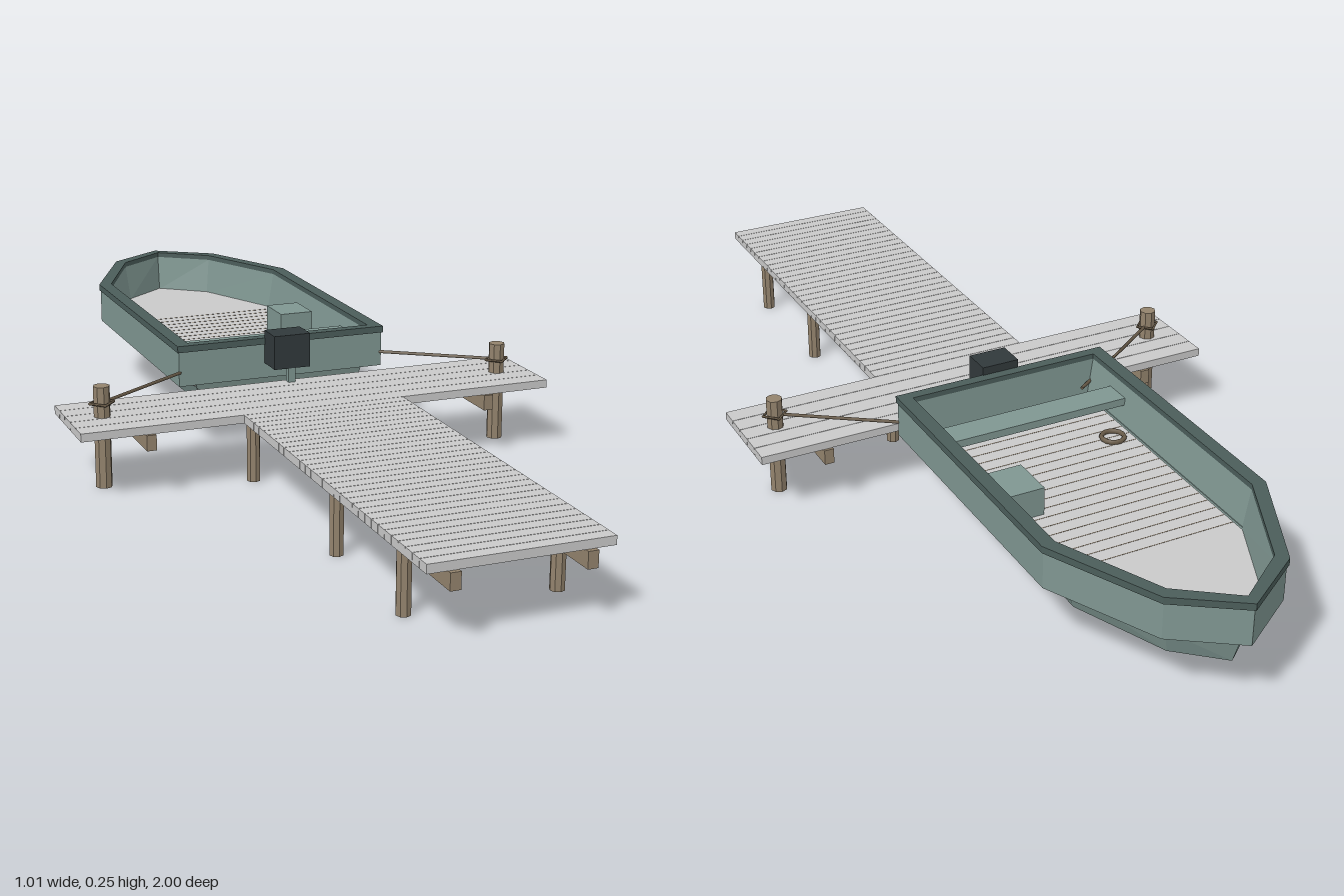
import * as THREE from 'three';

const mat = (name, color, extra = {}) =>
  Object.assign(new THREE.MeshStandardMaterial({ color, ...extra }), { name });

export function createModel() {
  const hullPaint = mat('hull green', 0x7f9691, { side: THREE.DoubleSide, flatShading: true });
  const rimPaint = mat('dark rim green', 0x4b5d5a);
  const plankGrey = mat('weathered grey planks', 0xc9c9c9);
  const timber = mat('brown timber', 0x93836d, { flatShading: true });
  const ropeBrown = mat('rope brown', 0x6a5c49, { side: THREE.DoubleSide });
  const motorBlack = mat('motor charcoal', 0x31393b);

  const model = new THREE.Group();
  model.name = 'boatAndDock';
  const dock = new THREE.Group();
  dock.name = 'dock';
  const boat = new THREE.Group();
  boat.name = 'boat';
  model.add(dock, boat);

  const add = (parent, name, geometry, material, x = 0, y = 0, z = 0) => {
    const mesh = new THREE.Mesh(geometry, material);
    mesh.name = name;
    mesh.position.set(x, y, z);
    parent.add(mesh);
    return mesh;
  };
  // Box given by its limits on each axis
  const box = (parent, name, material, x0, x1, y0, y1, z0, z1) =>
    add(parent, name, new THREE.BoxGeometry(x1 - x0, y1 - y0, z1 - z0), material,
      (x0 + x1) / 2, (y0 + y1) / 2, (z0 + z1) / 2);

  // Dock planks, running across
  const planks = (name, halfWidth, z0, z1, count) => {
    const pitch = (z1 - z0) / count;
    for (let i = 0; i < count; i++) {
      box(dock, name, plankGrey, -halfWidth, halfWidth, 0.13, 0.147,
        z0 + i * pitch + 0.0006, z0 + (i + 1) * pitch - 0.0006);
    }
  };
  planks('crossPlank', 0.507, -0.055, 0.148, 5);
  planks('walkwayPlank', 0.173, 0.148, 0.992, 31);

  // Beams, pilings, mooring posts and ropes
  for (const s of [-1, 1]) {
    box(dock, 'walkwayBeam', timber, s * 0.125 - 0.01, s * 0.125 + 0.01, 0.098, 0.13, -0.052, 1);
    box(dock, 'crossBeam', timber, s * 0.367 - 0.01, s * 0.367 + 0.01, 0.098, 0.13, -0.06, 0.154);
    for (const z of [0.125, 0.56, 0.85]) {
      add(dock, 'piling', new THREE.CylinderGeometry(0.014, 0.014, 0.13, 8), timber, s * 0.146, 0.065, z);
    }
    add(dock, 'mooringPost', new THREE.CylinderGeometry(0.017, 0.017, 0.21, 8), timber, s * 0.437, 0.105, 0.05);
    // Diamond-shaped loop round the post
    const loop = add(dock, 'ropeLoop', new THREE.TorusGeometry(0.025, 0.003, 5, 4), ropeBrown, s * 0.437, 0.175, 0.05);
    loop.rotation.x = Math.PI / 2;
    const line = new THREE.LineCurve3(
      new THREE.Vector3(s * 0.425, 0.175, 0.042), new THREE.Vector3(s * 0.165, 0.175, -0.138));
    add(dock, 'mooringRope', new THREE.TubeGeometry(line, 1, 0.0035, 5), ropeBrown);
  }

  // Boat outline: stern corner, knuckle, shoulder and bow tip, mirrored
  const outline = (w, stern, knuckle, shoulderX, shoulderZ, bow) => [
    [w, stern], [w, knuckle], [shoulderX, shoulderZ], [0, bow],
    [-shoulderX, shoulderZ], [-w, knuckle], [-w, stern]];
  const rimOuter = outline(0.233, -0.09, -0.69, 0.127, -0.914, -1);
  const sideOuter = outline(0.23, -0.093, -0.69, 0.124, -0.911, -0.996);
  const rimInner = outline(0.205, -0.112, -0.686, 0.109, -0.894, -0.974);
  const floorEdge = outline(0.191, -0.115, -0.685, 0.1, -0.885, -0.965);
  const lowerTop = outline(0.19, -0.106, -0.69, 0.1, -0.888, -0.967);
  const keelEdge = outline(0.163, -0.12, -0.685, 0.085, -0.87, -0.945);
  const lowerInner = outline(0.188, -0.108, -0.689, 0.099, -0.886, -0.965);

  // Surface through a list of [outline, height] rings
  const loft = (rings) => {
    const pos = [];
    for (let r = 0; r + 1 < rings.length; r++) {
      const [a, ya] = rings[r], [b, yb] = rings[r + 1];
      for (let i = 0; i < a.length; i++) {
        const j = (i + 1) % a.length;
        const p = [a[i][0], ya, a[i][1]], q = [a[j][0], ya, a[j][1]];
        const u = [b[i][0], yb, b[i][1]], v = [b[j][0], yb, b[j][1]];
        pos.push(...p, ...u, ...q, ...q, ...u, ...v);
      }
    }
    const g = new THREE.BufferGeometry();
    g.setAttribute('position', new THREE.Float32BufferAttribute(pos, 3));
    g.computeVertexNormals();
    return g;
  };
  // Inner wall, gunwale, side, ledge, lower side, and the inside below the floor
  add(boat, 'hull', loft([
    [floorEdge, 0.14], [rimInner, 0.222], [sideOuter, 0.222],
    [sideOuter, 0.145], [lowerTop, 0.145], [keelEdge, 0.08], [lowerInner, 0.137]]), hullPaint);

  // Flat slab following an outline
  const slab = (points, depth, hole) => {
    const toShape = (C, pts) => new C(pts.map(([x, z]) => new THREE.Vector2(x, -z)));
    const shape = toShape(THREE.Shape, points);
    if (hole) shape.holes.push(toShape(THREE.Path, hole));
    return new THREE.ExtrudeGeometry(shape, { depth, bevelEnabled: false }).rotateX(-Math.PI / 2);
  };
  add(boat, 'rim', slab(rimOuter, 0.014, rimInner), rimPaint, 0, 0.219, 0);
  add(boat, 'floor', slab(floorEdge, 0.006), plankGrey, 0, 0.136, 0);

  // Seams between floor boards
  for (let z = -0.66; z < -0.2; z += 0.0285) {
    box(boat, 'floorSeam', timber, -0.187, 0.187, 0.1355, 0.1425, z - 0.0007, z + 0.0007);
  }

  // Bench, storage box and coiled rope
  box(boat, 'bench', hullPaint, -0.2, 0.2, 0.182, 0.198, -0.25, -0.192);
  box(boat, 'storageBox', hullPaint, 0.11, 0.186, 0.142, 0.2, -0.478, -0.385);
  const coil = add(boat, 'ropeCoil', new THREE.TorusGeometry(0.023, 0.005, 6, 14), ropeBrown, -0.147, 0.146, -0.295);
  coil.rotation.x = Math.PI / 2;

  // Outboard motor
  box(boat, 'motorCowling', motorBlack, -0.04, 0.04, 0.178, 0.25, -0.092, -0.032);
  box(boat, 'motorShaft', hullPaint, -0.008, 0.008, 0.064, 0.178, -0.05, -0.034);
  box(boat, 'propeller', hullPaint, -0.028, 0.028, 0.067, 0.077, -0.046, -0.038);

  return model;
}
